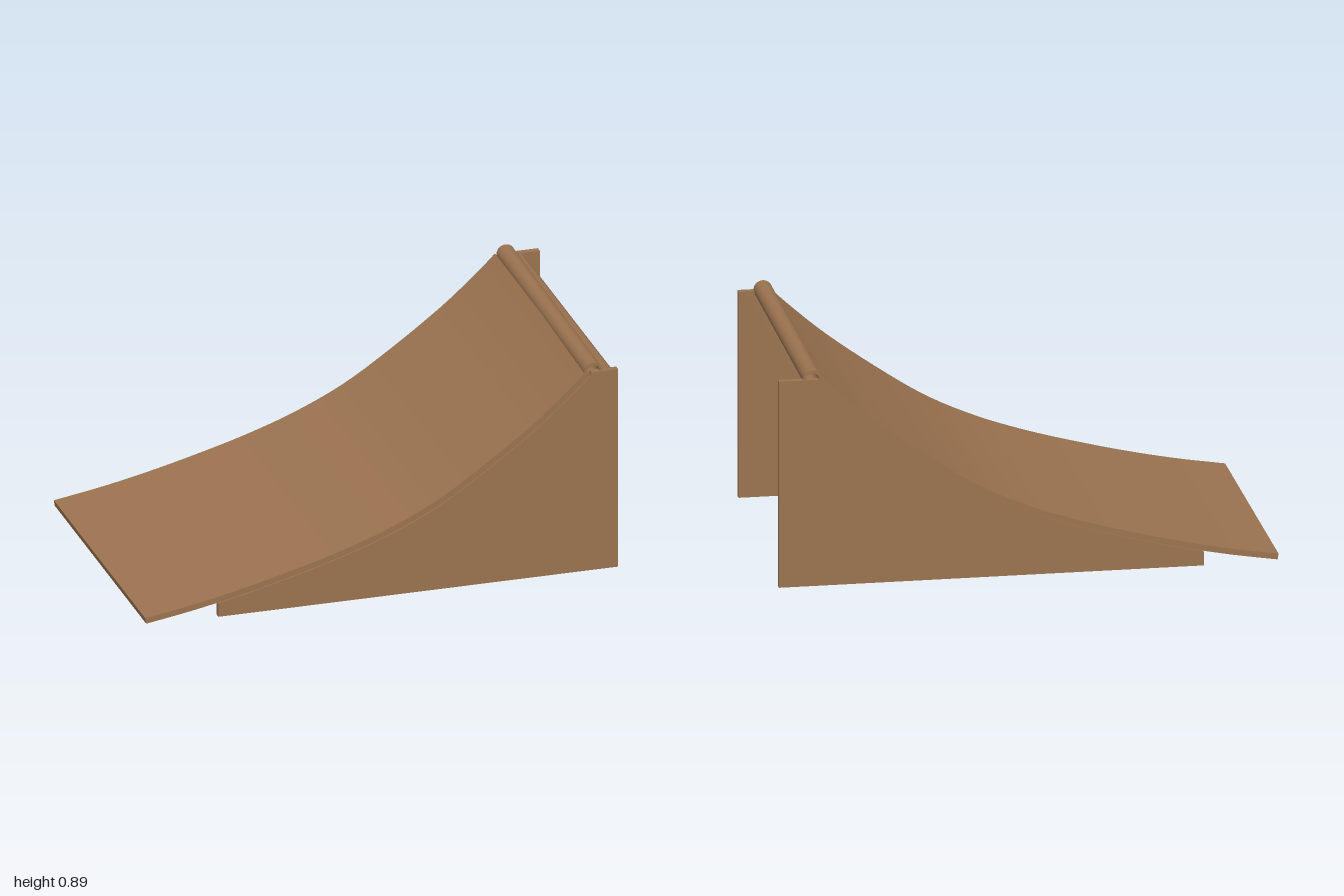
import * as THREE from 'three';

const wood = new THREE.MeshStandardMaterial({ color: 0x9b7350, side: THREE.DoubleSide });

// Flat outline extruded along z, from z0 to z0 + depth
function extruded(name, shape, z0, depth) {
  const geo = new THREE.ExtrudeGeometry(shape, { depth, bevelEnabled: false, curveSegments: 24 });
  geo.translate(0, 0, z0);
  const mesh = new THREE.Mesh(geo, wood);
  mesh.name = name;
  return mesh;
}

export function createModel() {
  const ramp = new THREE.Group();
  ramp.name = 'ramp';

  // Riding curve, and the same curve offset by the sheet thickness
  const curve = new THREE.SplineCurve([
    [-1, 0.03], [-0.8, 0.063], [-0.6, 0.105], [-0.4, 0.155], [-0.2, 0.212], [0, 0.283],
    [0.2, 0.378], [0.4, 0.508], [0.6, 0.655], [0.75, 0.785], [0.82, 0.853],
  ].map(([x, y]) => new THREE.Vector2(x, y)));
  const top = [], under = [];
  const thickness = 0.024, steps = 44;
  for (let i = 0; i <= steps; i++) {
    const p = curve.getPoint(i / steps);
    const t = curve.getTangent(i / steps);
    top.push(p);
    under.push(new THREE.Vector2(p.x + t.y * thickness, p.y - t.x * thickness));
  }

  // Curved deck sheet
  const deckShape = new THREE.Shape([...under, ...top.slice().reverse()]);
  ramp.add(extruded('deck', deckShape, -0.605, 1.21));

  // Side panels that follow the underside of the deck
  const edge = under.filter((p) => p.x > -0.7);
  function sidePanel(name, z0, backX) {
    const outline = [
      new THREE.Vector2(-0.7, 0), new THREE.Vector2(backX, 0), new THREE.Vector2(backX, 0.85),
      new THREE.Vector2(0.84, 0.85), ...edge.slice().reverse(), new THREE.Vector2(-0.7, 0.057),
    ];
    ramp.add(extruded(name, new THREE.Shape(outline), z0, 0.027));
  }
  sidePanel('frontSidePanel', 0.585, 0.95);
  sidePanel('backSidePanel', -0.612, 1.0);

  // Cross beams standing on edge below the deck: x, y of the upper corner, slope in degrees
  const beamWidth = 0.05, beamHeight = 0.14;
  [[-0.25, 0.17, 15], [0.12, 0.32, 21], [0.4, 0.485, 34], [0.67, 0.7, 41]].forEach(([x, y, deg], i) => {
    const a = THREE.MathUtils.degToRad(deg);
    const beam = new THREE.Mesh(new THREE.BoxGeometry(beamWidth, beamHeight, 1.17), wood);
    beam.name = `crossBeam${i + 1}`;
    beam.rotation.z = a;
    beam.position.set(
      x - Math.cos(a) * beamWidth / 2 + Math.sin(a) * beamHeight / 2,
      y - Math.sin(a) * beamWidth / 2 - Math.cos(a) * beamHeight / 2, 0);
    ramp.add(beam);
  });

  // Top beam lying flat along the slope, under the pipe
  const topBeam = new THREE.Mesh(new THREE.BoxGeometry(0.165, 0.05, 1.17), wood);
  topBeam.name = 'topBeam';
  topBeam.rotation.z = 0.66;
  topBeam.position.set(0.87, 0.783, 0);
  ramp.add(topBeam);

  // Hollow coping pipe along the lip
  const ring = new THREE.Shape();
  ring.absarc(0, 0, 0.037, 0, Math.PI * 2);
  const bore = new THREE.Path();
  bore.absarc(0, 0, 0.026, 0, Math.PI * 2, true);
  ring.holes.push(bore);
  const pipe = extruded('copingPipe', ring, -0.605, 1.21);
  pipe.position.set(0.857, 0.85, 0);
  pipe.rotation.y = -0.012;
  ramp.add(pipe);

  return ramp;
}
